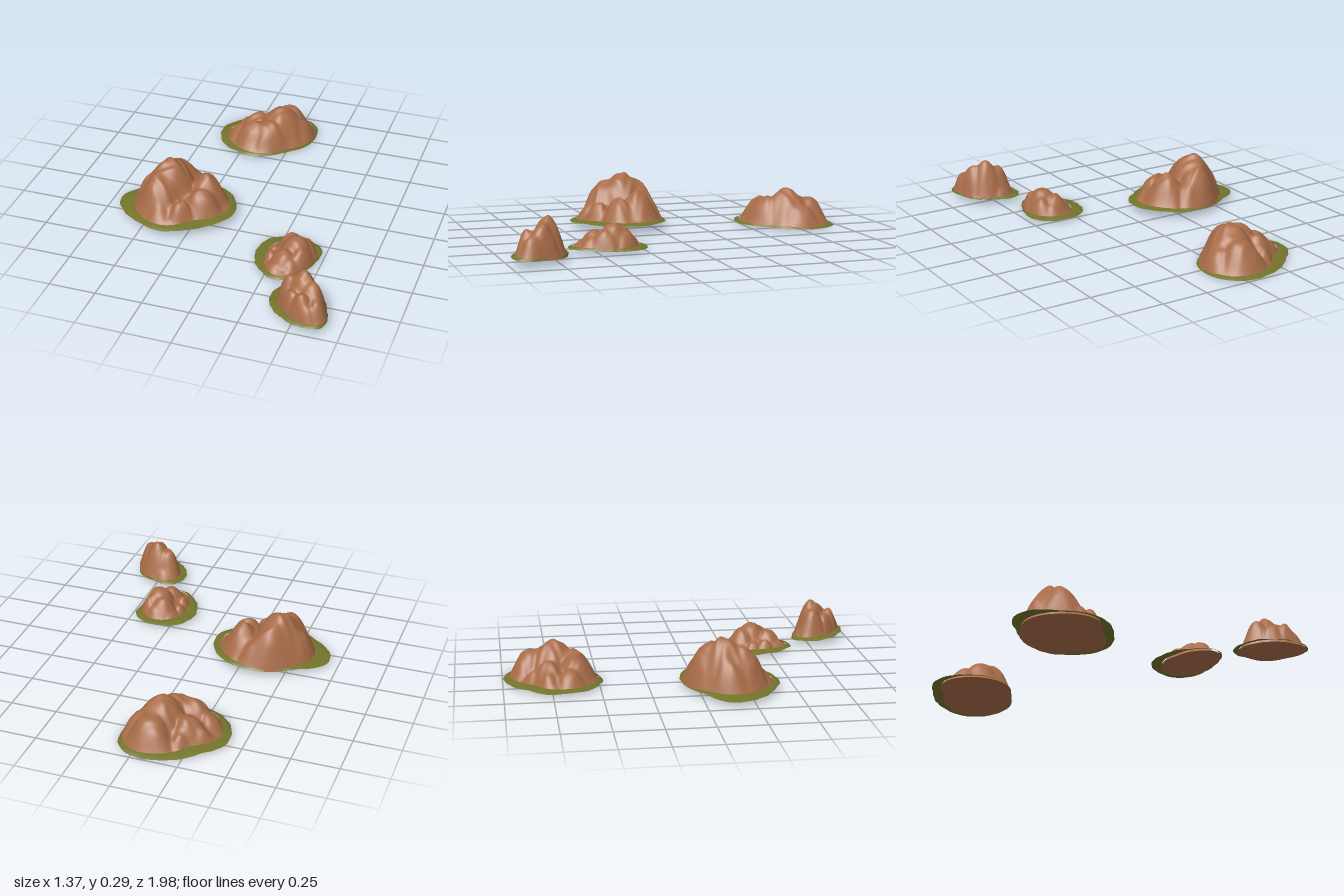
import * as THREE from 'three';
import { mergeVertices } from 'three/addons/utils/BufferGeometryUtils.js';

const SEGMENTS = 112;

const rockMaterial = new THREE.MeshStandardMaterial({ color: 0xa96d49 });
rockMaterial.name = 'clay rock';
const grassMaterial = new THREE.MeshStandardMaterial({ color: 0x72742a, side: THREE.DoubleSide });
grassMaterial.name = 'moss green';

// Smooth closed interpolation of radii given at equal angles from +x towards +z
function radiusAt(radii, angle) {
  const n = radii.length;
  const f = (angle / (Math.PI * 2)) * n;
  const i = Math.floor(f);
  const u = f - i;
  const [a, b, c, d] = [-1, 0, 1, 2].map((k) => radii[(i + k + n) % n]);
  return b + 0.5 * u * (c - a + u * (2 * a - 5 * b + 4 * c - d + u * (3 * (b - c) + d - a)));
}

// Surface swept round a centre: point(angle, t) with t from 0 to 1 outwards
function radialSurface(point, rings, faceDown = false) {
  const positions = [];
  const index = [];
  for (let r = 0; r <= rings; r++) {
    for (let s = 0; s < SEGMENTS; s++) {
      positions.push(...point((s / SEGMENTS) * Math.PI * 2, r / rings));
      if (r === rings) continue;
      const a = r * SEGMENTS + s;
      const b = r * SEGMENTS + ((s + 1) % SEGMENTS);
      const c = a + SEGMENTS;
      const d = b + SEGMENTS;
      if (faceDown) index.push(a, c, b, b, c, d);
      else index.push(a, b, c, b, d, c);
    }
  }
  let geometry = new THREE.BufferGeometry();
  geometry.setAttribute('position', new THREE.Float32BufferAttribute(positions, 3));
  geometry.setIndex(index);
  geometry = mergeVertices(geometry, 1e-5);
  geometry.computeVertexNormals();
  return geometry;
}

// One island: humps are [x, z, height]; spread sets how wide a hump is for its height
function buildIsland({ name, centre, tilt, grass, rock, humps, spread }) {
  const group = new THREE.Group();
  group.name = name;
  const [cx, cy, cz] = centre;
  const ground = (x, z) => cy + tilt[0] * (x - cx) + tilt[1] * (z - cz);
  const at = (angle, radius) => [cx + radius * Math.cos(angle), cz + radius * Math.sin(angle)];
  const peak = Math.max(...humps.map((hump) => hump[2]));

  // Main humps plus a ring of uneven foothills
  const domes = humps.map(([x, z, h]) => [x, z, h, 0.03 + spread * h]);
  for (let i = 0; i < 8; i++) {
    const angle = (i / 8) * Math.PI * 2 + 0.3;
    const radius = radiusAt(rock, angle);
    domes.push([...at(angle, 0.72 * radius), peak * (0.42 + 0.1 * Math.sin(i * 2.4)), 0.36 * radius]);
  }

  // Blend of the domes over a low common mound, dropping steeply at the rim
  const rockHeight = (x, z, t) => {
    let sum = (0.4 * peak * (1 - t * t)) ** 9;
    for (const [dx, dz, h, r] of domes) {
      const d2 = ((x - dx) ** 2 + (z - dz) ** 2) / (r * r);
      sum += (h * Math.max(0, 1 - d2)) ** 9;
    }
    const ripple = 0.03 * peak * Math.sin(x * 60 + 2 * Math.sin(z * 35)) * Math.sin(z * 50);
    return Math.max(0, (sum ** (1 / 9) + ripple) * (1 - t ** 6));
  };

  const add = (partName, geometry, material) => {
    const mesh = new THREE.Mesh(geometry, material);
    mesh.name = partName;
    group.add(mesh);
  };

  // Rock mound
  add('rockMound', radialSurface((angle, t) => {
    const [x, z] = at(angle, t * radiusAt(rock, angle));
    return [x, ground(x, z) - 0.006 * t ** 12 + rockHeight(x, z, t), z];
  }, 40), rockMaterial);

  // Flat underside of the rock
  add('rockUnderside', radialSurface((angle, t) => {
    const [x, z] = at(angle, t * radiusAt(rock, angle));
    return [x, ground(x, z) - 0.006, z];
  }, 3, true), rockMaterial);

  // Ragged grass skirt around the foot
  add('grassSkirt', radialSurface((angle, t) => {
    const inner = 0.96 * radiusAt(rock, angle);
    const outer = Math.max(inner, radiusAt(grass, angle))
      + 0.003 * Math.sin(angle * 13) * Math.sin(angle * 5 + 1);
    const [x, z] = at(angle, inner + (outer - inner) * t);
    const y = ground(x, z) + 0.008 * (1 - t * t) - 0.004 * t + 0.002 * Math.sin(angle * 7) * t;
    return [x, Math.max(0, y), z];
  }, 5), grassMaterial);

  return group;
}

export function createModel() {
  const model = new THREE.Group();
  model.name = 'rockyIslands';

  model.add(buildIsland({
    name: 'largeIsland', centre: [-0.376, 0.036, 0.164], tilt: [0.035, 0], spread: 0.56,
    grass: [0.32, 0.26, 0.26, 0.265, 0.323, 0.235, 0.243, 0.296],
    rock: [0.29, 0.205, 0.233, 0.233, 0.243, 0.222, 0.243, 0.275],
    humps: [[-0.43, 0.12, 0.25], [-0.46, 0.22, 0.205], [-0.41, 0.02, 0.21],
      [-0.23, 0.08, 0.175], [-0.22, 0.2, 0.14], [-0.55, 0.13, 0.17]],
  }));

  model.add(buildIsland({
    name: 'rearIsland', centre: [-0.153, 0.013, -0.73], tilt: [-0.02, 0.01], spread: 0.66,
    grass: [0.26, 0.212, 0.249, 0.27, 0.27, 0.222, 0.254, 0.307],
    rock: [0.26, 0.212, 0.243, 0.243, 0.227, 0.164, 0.217, 0.291],
    humps: [[-0.07, -0.73, 0.195], [-0.1, -0.62, 0.155], [-0.05, -0.86, 0.155],
      [-0.2, -0.62, 0.14], [-0.22, -0.76, 0.12], [0.05, -0.78, 0.13]],
  }));

  model.add(buildIsland({
    name: 'smallIsland', centre: [0.328, 0.02, 0.429], tilt: [0, 0.015], spread: 0.58,
    grass: [0.143, 0.148, 0.201, 0.175, 0.175, 0.201, 0.206, 0.196],
    rock: [0.143, 0.143, 0.19, 0.143, 0.116, 0.143, 0.175, 0.164],
    humps: [[0.37, 0.41, 0.127], [0.33, 0.35, 0.1], [0.42, 0.35, 0.095],
      [0.42, 0.47, 0.1], [0.33, 0.5, 0.09]],
  }));

  model.add(buildIsland({
    name: 'frontIsland', centre: [0.519, 0.034, 0.825], tilt: [0, 0.035], spread: 0.38,
    grass: [0.132, 0.19, 0.148, 0.132, 0.164, 0.201, 0.138, 0.127],
    rock: [0.132, 0.185, 0.127, 0.106, 0.127, 0.175, 0.138, 0.127],
    humps: [[0.52, 0.79, 0.19], [0.58, 0.83, 0.165], [0.45, 0.78, 0.155],
      [0.54, 0.9, 0.13], [0.62, 0.89, 0.12], [0.48, 0.86, 0.12]],
  }));

  return model;
}
